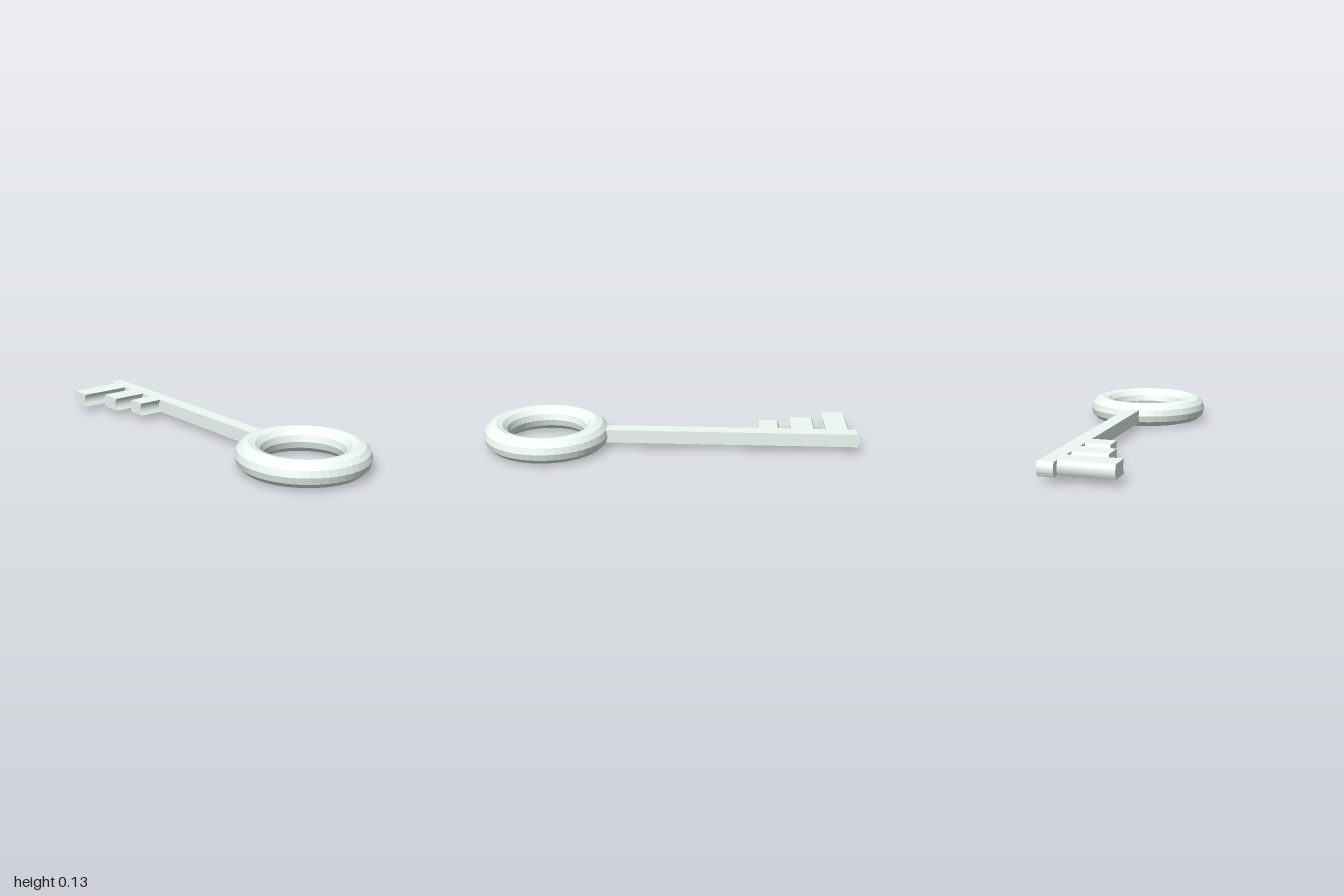
import * as THREE from 'three';
import { toCreasedNormals } from 'three/addons/utils/BufferGeometryUtils.js';

const MID = 0.067; // height of the key's middle plane

export function createModel() {
  const group = new THREE.Group();
  const add = (name, geometry, flatShading) => {
    const material = new THREE.MeshStandardMaterial({ color: 0xeffaf5, flatShading });
    const mesh = new THREE.Mesh(geometry, material);
    mesh.name = name;
    group.add(mesh);
  };

  // Faceted ring to hold the key by
  const ring = new THREE.TorusGeometry(0.268, 0.067, 12, 48);
  ring.rotateX(Math.PI / 2);
  ring.translate(0.665, MID, 0);
  add('bow', ring, true);

  // Outline of shaft and teeth, seen from above: [left x, right x, front z]
  const teeth = [[-0.955, -0.838, 0.313], [-0.773, -0.655, 0.223], [-0.583, -0.484, 0.168]];
  const half = 0.04;
  const outline = [[-1, -half], [-1, half]];
  for (const [x0, x1, z] of teeth) outline.push([x0, half], [x0, z], [x1, z], [x1, half]);
  outline.push([0.385, half], [0.385, -half]);
  const shape = new THREE.Shape(outline.map(([x, z]) => new THREE.Vector2(x, -z)));

  const height = 0.07;
  const blade = new THREE.ExtrudeGeometry(shape, { depth: height, steps: 8, bevelEnabled: false });
  blade.rotateX(-Math.PI / 2);
  blade.translate(0, MID - height / 2, 0);

  // Bow the end faces: the middle height sits furthest towards the tip
  const pos = blade.attributes.position;
  for (let i = 0; i < pos.count; i++) {
    const t = (pos.getY(i) - MID) / (height / 2);
    pos.setX(i, pos.getX(i) + 0.012 * t * t);
  }
  add('shaftAndTeeth', toCreasedNormals(blade, 0.5), false);

  return group;
}
